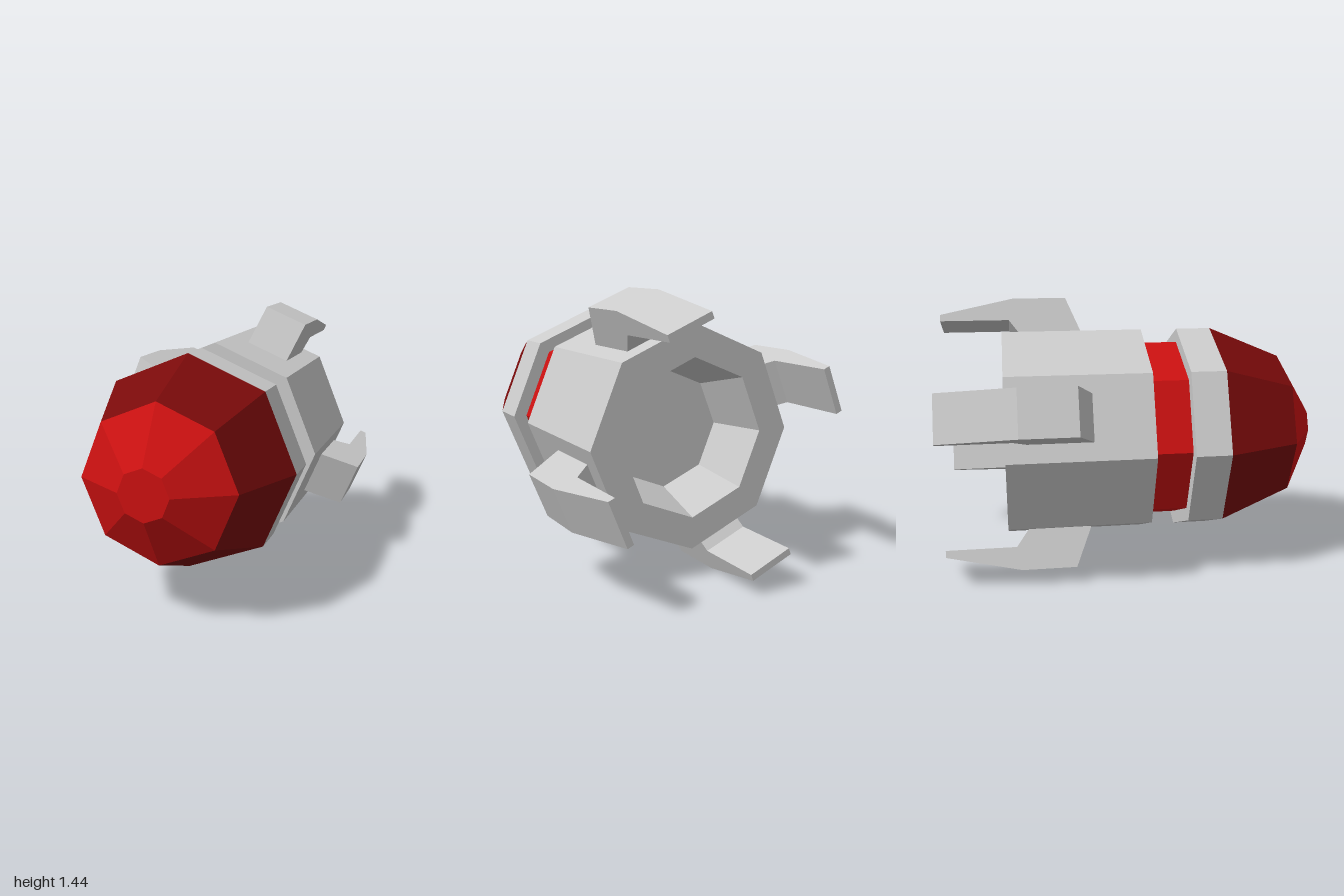
import * as THREE from 'three';

const AXIS_Y = 0.725; // height of the long axis
const R = 0.5625;     // hull corner radius

const paint = (color) => new THREE.MeshStandardMaterial({ color, flatShading: true });

// Eight-sided solid along z from [radius, z] points, listed back to front
function octagonal(name, points, material) {
  const profile = points.map(([r, z]) => new THREE.Vector2(r, z));
  const geometry = new THREE.LatheGeometry(profile, 8);
  geometry.rotateX(Math.PI / 2);
  const mesh = new THREE.Mesh(geometry, material);
  mesh.name = name;
  return mesh;
}

export function createModel() {
  const model = new THREE.Group();
  model.name = 'pod';
  const body = new THREE.Group();
  body.name = 'body';
  body.position.y = AXIS_Y;
  model.add(body);

  const grey = paint(0xcccccc);
  const red = paint(0xcc1111);
  const darkRed = paint(0x7a0a0a);

  // Rear hull with a tapering hollow exhaust
  body.add(octagonal('hull', [
    [0, -0.4], [0.31, -0.4], [0.4, -0.675], [R, -0.675], [R, 0.07], [0, 0.07],
  ], grey));

  // Recessed band, collar, and two-stage nose
  body.add(octagonal('band', [[0.49, 0.07], [0.49, 0.265]], red));
  body.add(octagonal('collar', [[0, 0.265], [R, 0.265], [R, 0.45]], grey));
  body.add(octagonal('noseBase', [[R, 0.45], [0.4, 0.84]], darkRed));
  body.add(octagonal('noseTip', [[0.4, 0.84], [0.13, 1], [0, 1]], red));

  // Bent fin: side profile in (radius, z), extruded across its width
  const width = 0.243;
  const outline = [
    [0.5, -0.235], [0.52, -0.24], [0.73, -0.325], [0.73, -0.61], [0.645, -1],
    [0.61, -1], [0.61, -0.635], [0.52, -0.57], [0.5, -0.57],
  ].map(([r, z]) => new THREE.Vector2(r, z));
  const finGeometry = new THREE.ExtrudeGeometry(new THREE.Shape(outline), {
    depth: width, bevelEnabled: false,
  });
  finGeometry.translate(0, 0, -width / 2);
  finGeometry.rotateX(Math.PI / 2);

  // Four fins, each on the middle of a hull face
  for (let i = 0; i < 4; i++) {
    const fin = new THREE.Mesh(finGeometry, grey);
    fin.name = `fin${i + 1}`;
    fin.rotation.z = Math.PI * (3 / 8 + i / 2);
    body.add(fin);
  }

  return model;
}
